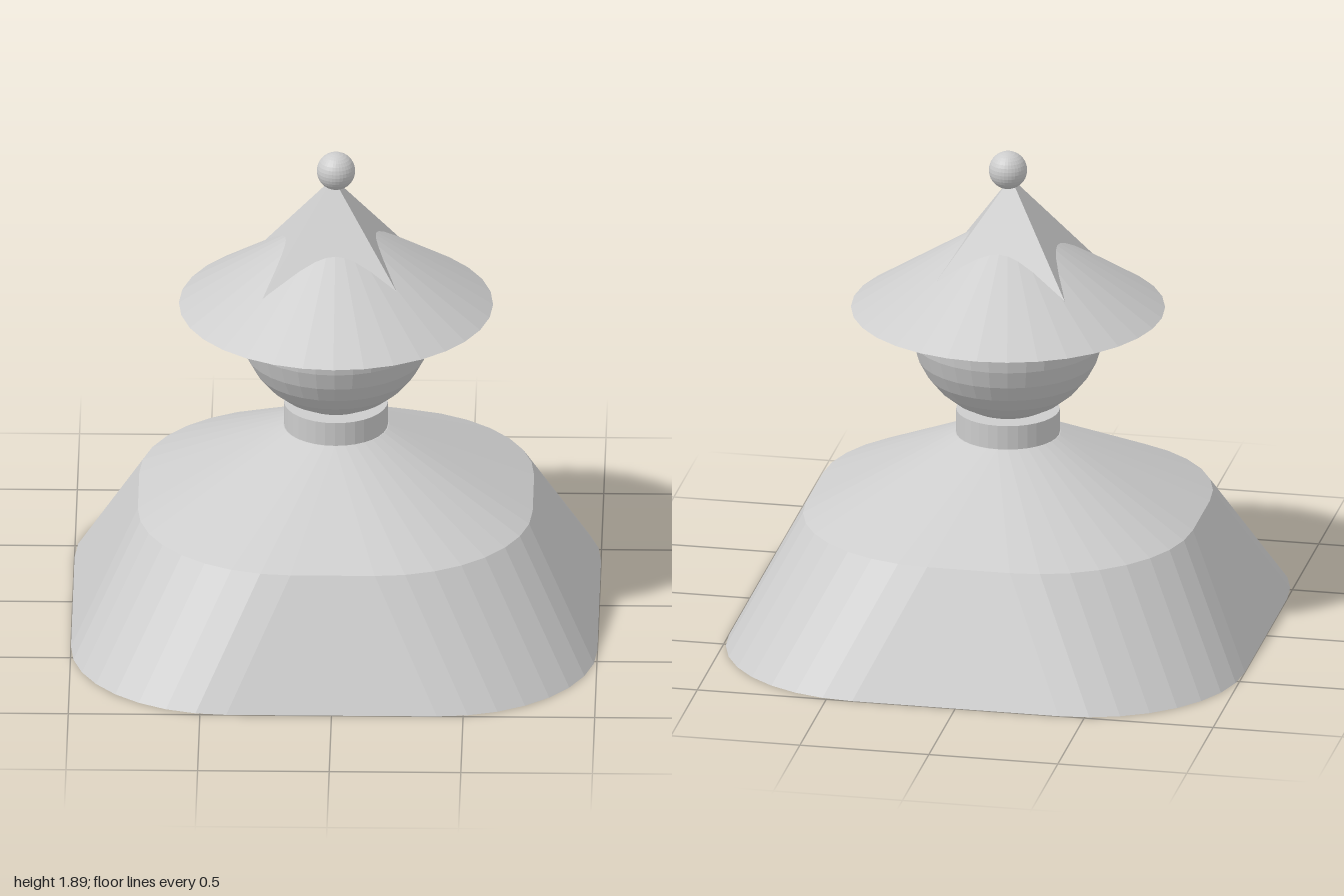
import * as THREE from 'three';

const grey = new THREE.MeshStandardMaterial({ color: 0xcccccc });
grey.name = 'plain grey';

// Faceted copy of a geometry: every face gets its own normal
function faceted(geometry) {
  const flat = geometry.index ? geometry.toNonIndexed() : geometry;
  flat.computeVertexNormals();
  return flat;
}

// Rounded square outline at height y: half width and corner radius
function roundedSquare(y, half, radius, steps = 8) {
  const points = [];
  for (let corner = 0; corner < 4; corner++) {
    const mid = (corner + 0.5) * Math.PI / 2;
    const cx = Math.sign(Math.cos(mid)) * (half - radius);
    const cz = Math.sign(Math.sin(mid)) * (half - radius);
    for (let i = 0; i <= steps; i++) {
      const a = (corner + i / steps) * Math.PI / 2;
      points.push([cx + radius * Math.cos(a), y, cz + radius * Math.sin(a)]);
    }
  }
  return points;
}

// Skin a stack of equal-length outlines, bottom to top, and cap both ends
function loft(rings) {
  const n = rings[0].length;
  const positions = rings.flat(2);
  const index = [];
  for (let r = 0; r < rings.length - 1; r++) {
    for (let i = 0; i < n; i++) {
      const a = r * n + i, b = r * n + (i + 1) % n;
      index.push(a, a + n, b, b, a + n, b + n);
    }
  }
  const top = (rings.length - 1) * n;
  for (let i = 1; i < n - 1; i++) {
    index.push(0, i, i + 1);
    index.push(top, top + i + 1, top + i);
  }
  const geometry = new THREE.BufferGeometry();
  geometry.setAttribute('position', new THREE.Float32BufferAttribute(positions, 3));
  geometry.setIndex(index);
  return geometry;
}

export function createModel() {
  const model = new THREE.Group();
  model.name = 'hattedFigure';

  function add(name, geometry, x, y) {
    const mesh = new THREE.Mesh(faceted(geometry), grey);
    mesh.name = name;
    mesh.position.set(x, y, 0);
    model.add(mesh);
    return mesh;
  }

  // Cloak: flared skirt, then shoulders closing to a round collar
  add('cloak', loft([
    roundedSquare(0, 1, 0.6),
    roundedSquare(0.47, 0.75, 0.59),
    roundedSquare(0.755, 0.2, 0.2),
  ]), 0, 0);

  // Neck and head
  add('neck', new THREE.CylinderGeometry(0.197, 0.197, 0.1, 32), 0, 0.8);
  add('head', new THREE.SphereGeometry(0.37, 32, 16), 0, 1.2);

  // Wide conical hat with a closed underside
  add('hatBrim', new THREE.ConeGeometry(0.597, 0.387, 32), 0, 1.26 + 0.387 / 2);

  // Four-sided peak rising through the hat, edges on the diagonals
  const peakHeight = 0.487;
  const peak = new THREE.ConeGeometry(0.469, peakHeight, 4).rotateY(Math.PI / 4);
  add('hatPeak', peak, -0.011, 1.3 + peakHeight / 2);

  // Ball on the tip
  add('hatBall', new THREE.SphereGeometry(0.073, 32, 16), 0, 1.817);

  return model;
}
